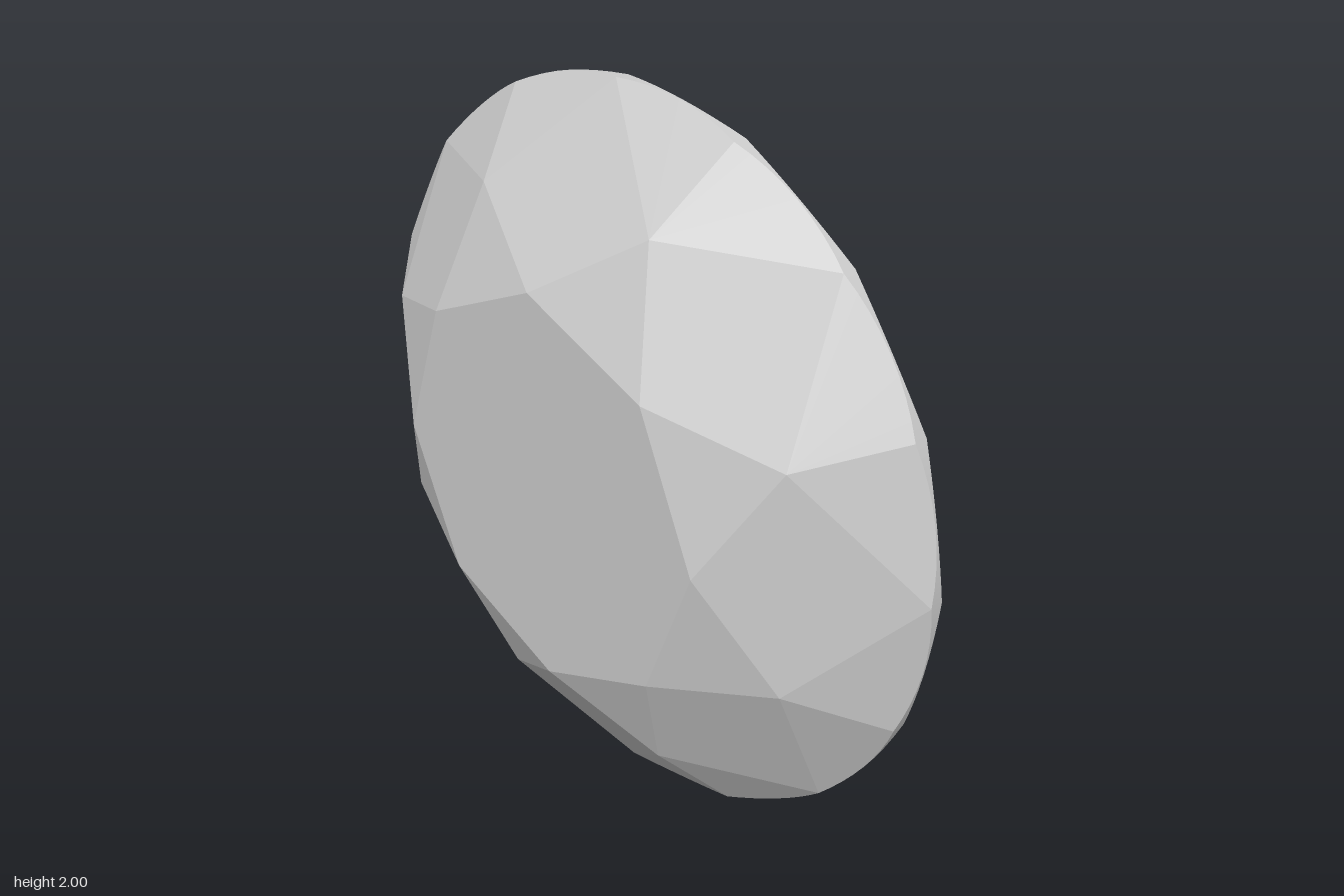
import * as THREE from 'three';

const STEP = Math.PI / 8; // sixteen girdle sectors
const ARC = 8;            // subdivisions of each girdle arc
const CENTER_Y = 1;

// Point at radius r, k sixteenths of a turn around the stone's z axis
const polar = (r, k, z) =>
  new THREE.Vector3(r * Math.cos(k * STEP), r * Math.sin(k * STEP), z);

// Fan each convex polygon into flat triangles; flip reverses the winding
function facetMesh(name, polygons, flip = false) {
  const pts = [];
  for (const p of polygons) {
    for (let i = 1; i < p.length - 1; i++) {
      pts.push(p[0], ...(flip ? [p[i + 1], p[i]] : [p[i], p[i + 1]]));
    }
  }
  const geo = new THREE.BufferGeometry().setFromPoints(pts);
  geo.computeVertexNormals();
  const mesh = new THREE.Mesh(geo, new THREE.MeshStandardMaterial({ color: 0xcccccc, flatShading: true }));
  mesh.name = name;
  return mesh;
}

// Where a half facet's plane cuts the round girdle, giving its scalloped edge
function scallop(corner, k, z) {
  const plane = new THREE.Plane().setFromCoplanarPoints(corner, polar(1, k, z), polar(1, k + 1, z));
  const n = plane.normal;
  return Array.from({ length: ARC + 1 }, (_, i) => {
    const p = polar(1, k + i / ARC, 0);
    p.z = -(n.x * p.x + n.y * p.y + plane.constant) / n.z;
    return p;
  });
}

export function createModel() {
  const group = new THREE.Group();
  group.name = 'cutGem';

  const tableAt = k => polar(0.545, k, 0.575);
  const crownAt = k => polar(0.782, k, 0.459);
  const pavilionAt = k => polar(0.25, k, -0.387);
  const culet = new THREE.Vector3(0, 0, -0.575);
  const topZ = 0.279, bottomZ = 0.241;

  const table = [], stars = [], bezels = [], upperHalves = [], mains = [], lowerHalves = [];
  const upperEdge = [], lowerEdge = [];

  for (let k = 0; k < 16; k += 2) {
    table.push(tableAt(k));
    stars.push([tableAt(k), crownAt(k + 1), tableAt(k + 2)]);
    bezels.push([tableAt(k), crownAt(k - 1), polar(1, k, topZ), crownAt(k + 1)]);
    mains.push([culet, pavilionAt(k - 1), polar(1, k, bottomZ), pavilionAt(k + 1)]);
    // Two half facets on either side of each corner
    for (const s of [k, k + 1]) {
      const up = scallop(crownAt(k + 1), s, topZ);
      const low = scallop(pavilionAt(k + 1), s, bottomZ);
      upperHalves.push([crownAt(k + 1), ...up]);
      lowerHalves.push([pavilionAt(k + 1), ...low]);
      upperEdge.push(...up.slice(0, ARC));
      lowerEdge.push(...low.slice(0, ARC));
    }
  }

  group.add(
    facetMesh('table', [table]),
    facetMesh('starFacets', stars),
    facetMesh('bezelFacets', bezels),
    facetMesh('upperGirdleFacets', upperHalves),
    facetMesh('pavilionMainFacets', mains, true),
    facetMesh('lowerGirdleFacets', lowerHalves, true)
  );

  // Smooth round girdle between the two scalloped edges
  const n = upperEdge.length, index = [];
  for (let i = 0; i < n; i++) {
    const j = (i + 1) % n;
    index.push(n + i, n + j, j, n + i, j, i);
  }
  const rim = [...upperEdge, ...lowerEdge];
  const girdleGeo = new THREE.BufferGeometry().setFromPoints(rim);
  girdleGeo.setIndex(index);
  girdleGeo.setAttribute('normal', new THREE.Float32BufferAttribute(rim.flatMap(p => [p.x, p.y, 0]), 3));
  const girdle = new THREE.Mesh(girdleGeo, new THREE.MeshStandardMaterial({ color: 0xcccccc }));
  girdle.name = 'girdle';
  group.add(girdle);

  group.children.forEach(part => { part.position.y = CENTER_Y; });
  return group;
}
